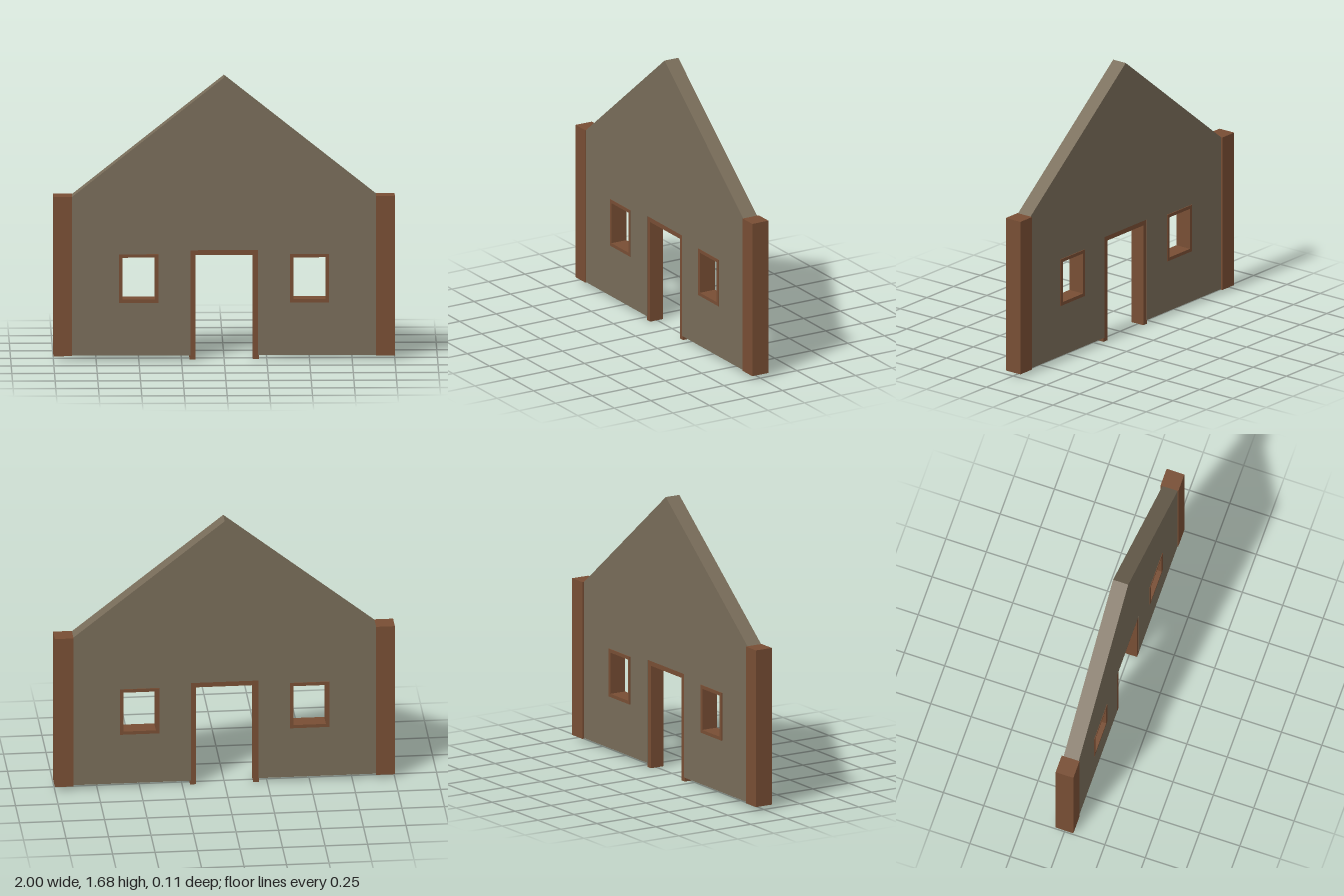
import * as THREE from 'three';

const wallMat = new THREE.MeshStandardMaterial({ name: 'taupe plaster', color: 0x786c59 });
const woodMat = new THREE.MeshStandardMaterial({ name: 'brown timber', color: 0x784e34 });

const polygon = (points, Type = THREE.Shape) => new Type(points.map(([x, y]) => new THREE.Vector2(x, y)));
const rect = (x0, x1, y0, y1) => [[x0, y0], [x1, y0], [x1, y1], [x0, y1]];

// Extrude an outline with optional holes between two z planes
function slab(name, material, outline, holes, zBack, zFront) {
  const shape = polygon(outline);
  shape.holes = holes.map((h) => polygon(h, THREE.Path));
  const geometry = new THREE.ExtrudeGeometry(shape, { depth: zFront - zBack, bevelEnabled: false });
  geometry.translate(0, 0, zBack);
  const mesh = new THREE.Mesh(geometry, material);
  mesh.name = name;
  return mesh;
}

export function createModel() {
  const model = new THREE.Group();
  model.name = 'gableWall';

  // Gabled wall with a doorway notch and two window openings
  const base = 0.025;
  const windowHoles = [-0.5, 0.5].map((x) => rect(x - 0.105, x + 0.105, 0.347, 0.617));
  model.add(slab('wall', wallMat, [
    [-0.9, base], [-0.198, base], [-0.198, 0.65], [0.198, 0.65], [0.198, base],
    [0.9, base], [0.9, 0.962], [0, 1.678], [-0.9, 0.962],
  ], windowHoles, -0.043, 0.051));

  // Door frame, slightly recessed, reaching the ground
  model.add(slab('doorFrame', woodMat, [
    [-0.203, 0], [-0.168, 0], [-0.168, 0.62], [0.168, 0.62],
    [0.168, 0], [0.203, 0], [0.203, 0.654], [-0.203, 0.654],
  ], [], -0.04, 0.048));

  for (const [side, s] of [['right', -1], ['left', 1]]) {
    // Window frame lining the whole opening
    const x = s * 0.5;
    model.add(slab(`${side}WindowFrame`, woodMat,
      rect(x - 0.115, x + 0.115, 0.338, 0.627),
      [rect(x - 0.095, x + 0.095, 0.358, 0.607)], -0.048, 0.054));

    // Corner post
    const post = new THREE.Mesh(new THREE.BoxGeometry(0.11, 0.948, 0.11), woodMat);
    post.name = `${side}Post`;
    post.position.set(s * 0.945, 0.496, 0);
    model.add(post);
  }
  return model;
}
